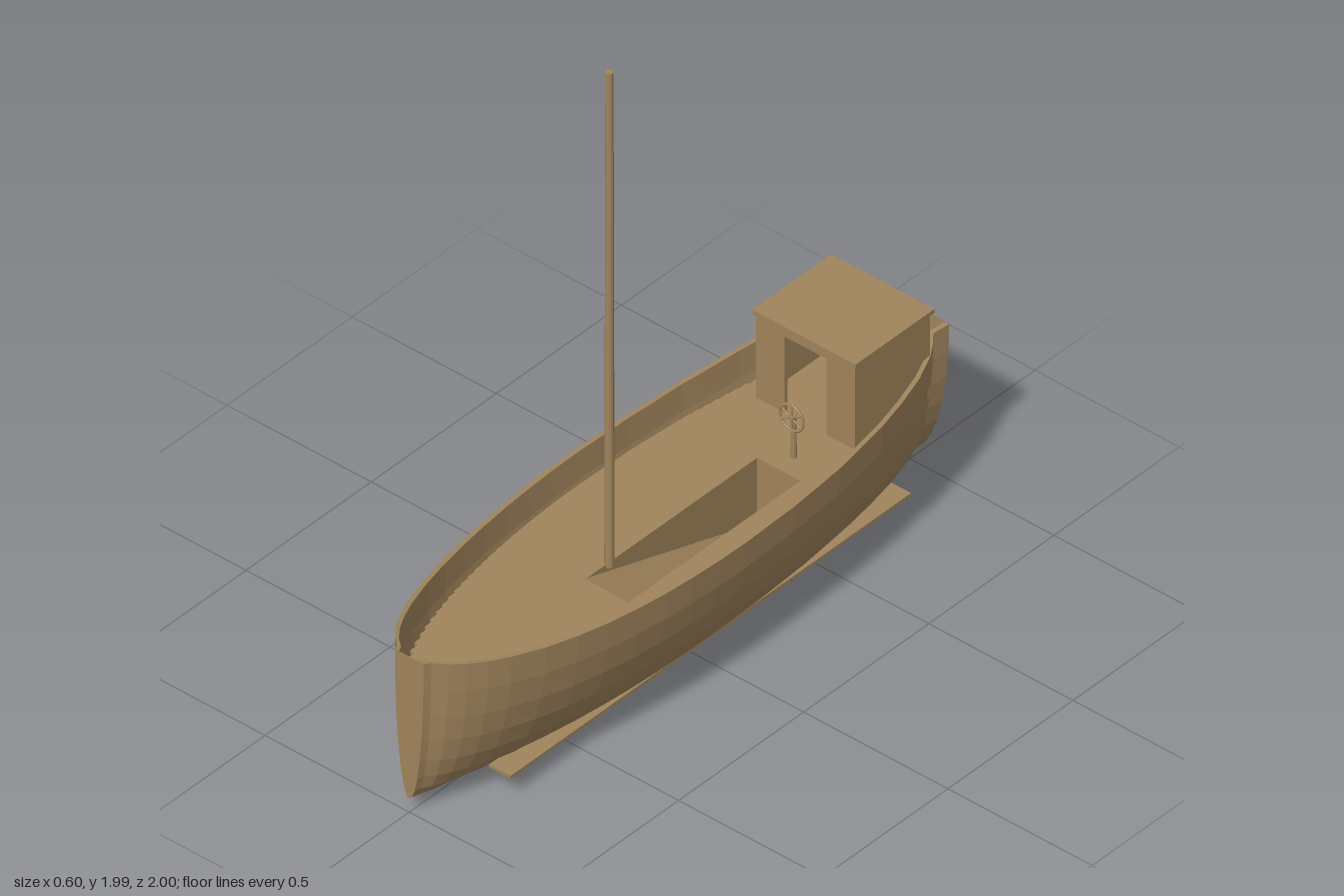
import * as THREE from 'three';

const wood = new THREE.MeshStandardMaterial({ color: 0xa0845c, flatShading: true, side: THREE.DoubleSide });
wood.name = 'brown wood';

const DECK = 0.36;
const sheer = z => 0.46 + 0.056 * Math.abs(z) ** 3;
const keel = z => 0.045 * Math.abs(z) ** 2.5;

// Half beam at the rail, read by linear interpolation along the stern
const stern = [[-1, 0.137], [-0.95, 0.125], [-0.92, 0.15], [-0.88, 0.176], [-0.8, 0.208], [-0.7, 0.234], [-0.6, 0.254], [-0.4, 0.281], [-0.2, 0.295], [0, 0.3]];
function beam(z) {
  if (z >= 0) return Math.max(0.05, 0.3 * Math.sqrt(1 - z * z));
  let i = 1;
  while (i < stern.length - 1 && stern[i][0] < z) i++;
  const [z0, w0] = stern[i - 1], [z1, w1] = stern[i];
  return w0 + (w1 - w0) * (z - z0) / (z1 - z0);
}

function add(parent, name, geometry, x = 0, y = 0, z = 0) {
  const mesh = new THREE.Mesh(geometry, wood);
  mesh.name = name;
  mesh.position.set(x, y, z);
  parent.add(mesh);
  return mesh;
}

// Box given by its limits
function block(parent, name, x0, x1, y0, y1, z0, z1) {
  return add(parent, name, new THREE.BoxGeometry(x1 - x0, y1 - y0, z1 - z0),
    (x0 + x1) / 2, (y0 + y1) / 2, (z0 + z1) / 2);
}

// Hull shell: half-elliptic rings, outside then back along the inside
function hullGeometry() {
  const N = 16, T = 0.014, pos = [], index = [], ring = 2 * (N + 1);
  const stations = [-1, -0.95, -0.92, -0.88];
  for (let z = -0.8; z < 0.75; z += 0.1) stations.push(z);
  stations.push(0.8, 0.86, 0.91, 0.95, 0.98, 1);
  for (const z of stations) {
    for (let k = 0; k < ring; k++) {
      const inner = k > N, t = inner ? T : 0;
      const a = Math.PI * (inner ? ring - 1 - k : k) / N;
      pos.push((beam(z) - t) * Math.cos(a), sheer(z) - (sheer(z) - keel(z) - t) * Math.sin(a), z);
    }
  }
  for (let j = 0; j < stations.length - 1; j++) {
    for (let k = 0; k < ring; k++) {
      const a = j * ring + k, b = j * ring + (k + 1) % ring, c = a + ring, d = b + ring;
      index.push(a, c, b, b, c, d);
    }
  }
  // stem and transom faces
  const last = (stations.length - 1) * ring;
  for (let k = 1; k < N; k++) {
    index.push(0, k, k + 1);
    index.push(last, last + k + 1, last + k);
  }
  const g = new THREE.BufferGeometry();
  g.setAttribute('position', new THREE.Float32BufferAttribute(pos, 3));
  g.setIndex(index);
  g.computeVertexNormals();
  return g;
}

// Deck with stepped edges and a hatch opening
function deckGeometry() {
  const steps = [], start = -0.95, end = 0.93, n = 56, len = (end - start) / n;
  for (let i = 0; i < n; i++) {
    const z0 = start + i * len, z1 = z0 + len;
    const inside = z => {
      const t = (sheer(z) - DECK) / (sheer(z) - keel(z));
      return (beam(z) - 0.014) * Math.sqrt(1 - t * t);
    };
    const w = Math.min(inside(z0), inside(z1));
    steps.push([w, z0], [w, z1]);
  }
  const outline = [...steps, ...steps.slice().reverse().map(([w, z]) => [-w, z])];
  const shape = new THREE.Shape(outline.map(([x, z]) => new THREE.Vector2(x, -z)));
  const hole = [[0, -0.3], [0.15, -0.3], [0.15, 0.39], [0, 0.39]];
  shape.holes.push(new THREE.Path(hole.map(([x, y]) => new THREE.Vector2(x, y))));
  const g = new THREE.ExtrudeGeometry(shape, { depth: 0.012, bevelEnabled: false });
  return g.rotateX(-Math.PI / 2);
}

// Sloping way down below the hatch, with its side walls
function buildHatch(parent) {
  const hatch = new THREE.Group();
  hatch.name = 'hatchway';
  const low = 0.16;
  const side = new THREE.Shape([[0.3, DECK], [-0.39, DECK], [-0.39, low], [-0.33, low]]
    .map(([z, y]) => new THREE.Vector2(-z, y)));
  for (const x of [-0.004, 0.15]) {
    const g = new THREE.ExtrudeGeometry(side, { depth: 0.004, bevelEnabled: false }).rotateY(Math.PI / 2);
    add(hatch, 'hatchSide', g, x, 0, 0);
  }
  const slope = Math.hypot(0.63, DECK - low);
  const ramp = add(hatch, 'ramp', new THREE.BoxGeometry(0.15, 0.006, slope), 0.075, (DECK + low) / 2, -0.015);
  ramp.rotation.x = -Math.atan2(DECK - low, 0.63);
  block(hatch, 'hatchFloor', 0, 0.15, low - 0.006, low, -0.39, -0.33);
  block(hatch, 'hatchEnd', 0, 0.15, low, DECK, -0.394, -0.39);
  parent.add(hatch);
}

// Open-fronted wheelhouse
function buildCabin(parent) {
  const cabin = new THREE.Group();
  cabin.name = 'wheelhouse';
  const top = 0.636, front = -0.583, back = -0.883, w = 0.172, t = 0.012;
  for (const s of [-1, 1]) {
    const span = (a, b) => [Math.min(s * a, s * b), Math.max(s * a, s * b)];
    block(cabin, 'sideWall', ...span(w - t, w), DECK, top, back, front);
    block(cabin, 'frontWall', ...span(0.073, w - t), DECK, top, front - t, front);
  }
  block(cabin, 'doorLintel', -0.073, 0.073, 0.612, top, front - t, front);
  block(cabin, 'backWall', -w + t, w - t, DECK, top, back, back + t);
  block(cabin, 'roof', -0.179, 0.179, top, 0.65, -0.892, -0.577);
  parent.add(cabin);
}

// Steering wheel on its post
function buildWheel(parent) {
  const helm = new THREE.Group();
  helm.name = 'helm';
  helm.position.set(0.07, 0, -0.455);
  const hubY = 0.495;
  add(helm, 'post', new THREE.CylinderGeometry(0.007, 0.009, hubY - DECK, 8), 0, (hubY + DECK) / 2, 0);
  add(helm, 'rim', new THREE.TorusGeometry(0.041, 0.004, 6, 20), 0, hubY, 0.008);
  add(helm, 'hub', new THREE.CylinderGeometry(0.008, 0.008, 0.02, 8).rotateX(Math.PI / 2), 0, hubY, 0.004);
  for (let i = 0; i < 3; i++) {
    const spoke = add(helm, 'spoke', new THREE.CylinderGeometry(0.0025, 0.0025, 0.09, 5), 0, hubY, 0.008);
    spoke.rotation.z = i * Math.PI / 3;
  }
  parent.add(helm);
}

export function createModel() {
  const boat = new THREE.Group();
  boat.name = 'boat';
  add(boat, 'hull', hullGeometry());
  add(boat, 'deck', deckGeometry(), 0, DECK - 0.012, 0);
  buildHatch(boat);
  buildCabin(boat);
  buildWheel(boat);

  // Mast
  add(boat, 'mast', new THREE.CylinderGeometry(0.011, 0.014, 1.985 - 0.35, 12), 0, (1.985 + 0.35) / 2, 0.2);

  // Bilge keels
  for (const s of [-1, 1]) {
    add(boat, 'bilgeKeel', new THREE.BoxGeometry(0.075, 0.01, 1.6), s * 0.1275, 0.073, -0.015);
  }
  return boat;
}
